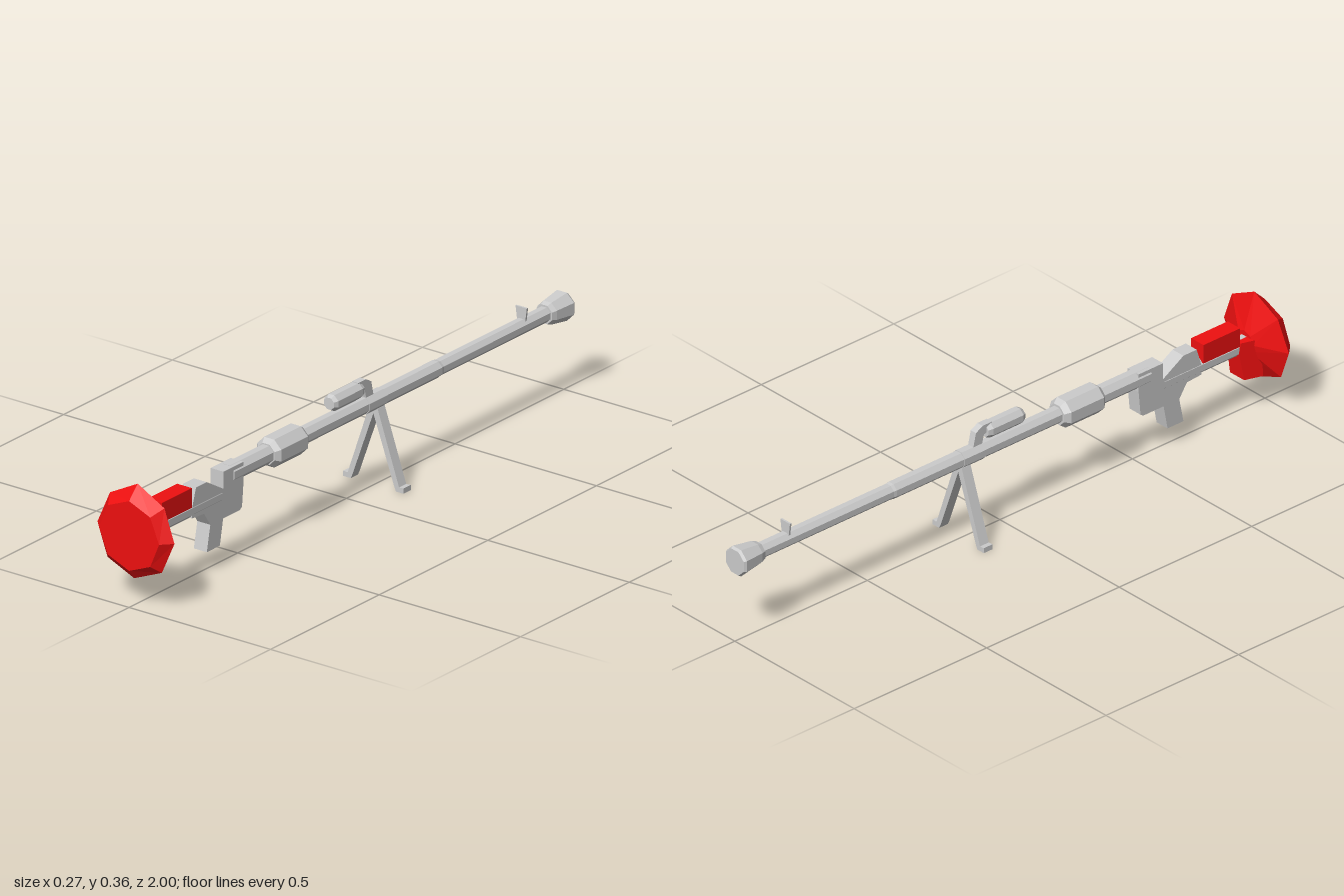
import * as THREE from 'three';

const grey = new THREE.MeshStandardMaterial({ color: 0xcccccc, flatShading: true });
const red = new THREE.MeshStandardMaterial({ color: 0xee1010, flatShading: true });
const AXIS = 0.258; // height of the barrel axis

export function createModel() {
  const model = new THREE.Group();

  const add = (name, geometry, material = grey) => {
    const mesh = new THREE.Mesh(geometry, material);
    mesh.name = name;
    model.add(mesh);
    return mesh;
  };

  // Eight-sided turned part along z, from [z, radius] pairs in rising z; closed at both ends
  const turned = (pairs, y, phi = Math.PI / 8) => {
    const pts = pairs.map(([z, r]) => new THREE.Vector2(r, z));
    pts.unshift(new THREE.Vector2(0, pairs[0][0]));
    pts.push(new THREE.Vector2(0, pairs[pairs.length - 1][0]));
    return new THREE.LatheGeometry(pts, 8, phi).rotateX(Math.PI / 2).translate(0, y, 0);
  };

  // Side profile of [z, y] corners, extruded across x
  const plate = (corners, width) => {
    const shape = new THREE.Shape(corners.map(([z, y]) => new THREE.Vector2(z, y)));
    return new THREE.ExtrudeGeometry(shape, { depth: width, bevelEnabled: false })
      .translate(0, 0, -width / 2).rotateY(-Math.PI / 2);
  };

  // Barrel, muzzle and sleeve
  add('barrel', turned([[-0.93, 0.024], [-0.42, 0.024], [-0.41, 0.026], [0.3, 0.026]], AXIS));
  add('muzzle', turned([[-1, 0.041], [-0.992, 0.046], [-0.925, 0.036], [-0.91, 0.03]], AXIS));
  add('sleeve', turned([[0.215, 0.033], [0.232, 0.046], [0.355, 0.046], [0.37, 0.033]], AXIS));
  add('receiver', turned([[0.36, 0.029], [0.55, 0.029]], AXIS));
  add('barrelCollar', turned([[-0.155, 0.028], [-0.075, 0.028]], AXIS));

  // Front sight: thin upright plate, wider at the top
  const sight = new THREE.Shape([[-0.014, 0.27], [0.014, 0.27], [0.02, 0.315], [-0.02, 0.315]]
    .map(([x, y]) => new THREE.Vector2(x, y)));
  add('frontSight', new THREE.ExtrudeGeometry(sight, { depth: 0.006, bevelEnabled: false })
    .translate(0, 0, -0.81));

  // Carrying handle: grip above the barrel with a bent arm
  add('handleGrip', turned([[-0.06, 0.02], [-0.045, 0.026], [0.068, 0.026], [0.08, 0.019]], 0.314));
  add('handleArm', plate([[-0.04, 0.34], [-0.04, 0.318], [-0.07, 0.31], [-0.08, 0.27],
    [-0.113, 0.27], [-0.1, 0.326], [-0.075, 0.34]], 0.022));

  // Bipod legs with outward feet
  for (const side of [1, -1]) {
    const corners = [[0.005, 0.25], [-0.008, 0.24], [0.074, 0.013], [0.08, 0], [0.107, 0],
      [0.107, 0.016], [0.091, 0.015], [0.015, 0.235]];
    const leg = new THREE.Shape(corners.map(([x, y]) => new THREE.Vector2(side * x, y)));
    add(side > 0 ? 'leftBipodLeg' : 'rightBipodLeg',
      new THREE.ExtrudeGeometry(leg, { depth: 0.033, bevelEnabled: false }).translate(0, 0, -0.157));
  }

  // Trigger block, pistol grip and rear hump in one profile
  add('gripBody', plate([[0.503, 0.284], [0.503, 0.225], [0.51, 0.15], [0.52, 0.143], [0.597, 0.143],
    [0.612, 0.065], [0.672, 0.065], [0.656, 0.143], [0.685, 0.186], [0.74, 0.19], [0.74, 0.22],
    [0.722, 0.278], [0.672, 0.278], [0.595, 0.232], [0.595, 0.284]], 0.046));

  // Stock tube and cheek rest
  add('stockTube', turned([[0.6, 0.026], [0.93, 0.026]], 0.211));
  add('cheekRest', new THREE.BoxGeometry(0.052, 0.06, 0.138).translate(0, 0.255, 0.814), red);

  // Neck of the shoulder rest, flaring towards the pad
  const neck = plate([[0.945, 0.235], [0.885, 0.235], [0.88, 0.2], [0.895, 0.113], [0.95, 0.113]], 0.05);
  const np = neck.attributes.position;
  for (let i = 0; i < np.count; i++) np.setX(i, np.getX(i) * (1 + (np.getZ(i) - 0.88) * 13));
  neck.computeVertexNormals();
  add('shoulderNeck', neck, red);

  // Shoulder pad: shallow cone with a flat front, the rim leaning slightly
  const pad = turned([[0.922, 0.035], [0.968, 0.136], [1, 0.106]], 0.217, 0);
  const pp = pad.attributes.position;
  for (let i = 0; i < pp.count; i++) {
    const y = pp.getY(i) - 0.217;
    if (Math.hypot(pp.getX(i), y) > 0.12) {
      pp.setZ(i, pp.getZ(i) - y * 0.06);
      if (y > 0.12) pp.setY(i, 0.363);
    }
  }
  pad.computeVertexNormals();
  add('shoulderPad', pad, red);

  return model;
}
